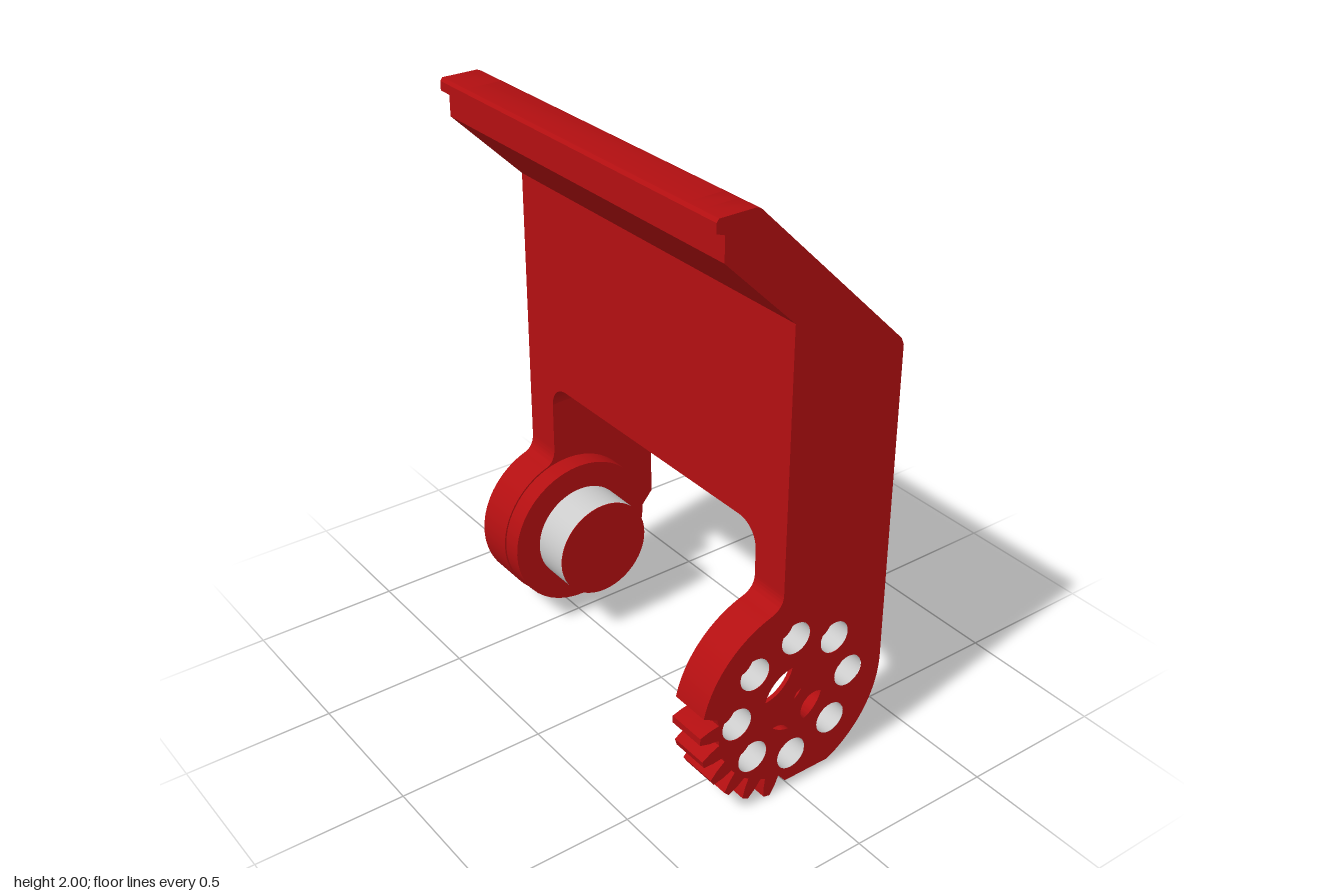
import * as THREE from 'three';
import { toCreasedNormals } from 'three/addons/utils/BufferGeometryUtils.js';

const red = new THREE.MeshStandardMaterial({ color: 0xb30f11 });
const grey = new THREE.MeshStandardMaterial({ color: 0xcccccc, side: THREE.DoubleSide });
const rad = THREE.MathUtils.degToRad;
const PIVOT = 0.35;       // height of the hinge axis
const HALF = 0.675;       // half of the full width
const INNER = 0.54;       // inner face of the arms

// Side profiles are drawn as (-z, y) and extruded along x.
function slab(name, shape, x0, x1) {
  const geo = new THREE.ExtrudeGeometry(shape, { depth: x1 - x0, bevelEnabled: false, curveSegments: 40 });
  geo.rotateY(Math.PI / 2).translate(x0, 0, 0);
  return named(name, toCreasedNormals(geo, 0.5), red);
}

function named(name, geo, material) {
  const mesh = new THREE.Mesh(geo, material);
  mesh.name = name;
  return mesh;
}

// Cylinder lying along x on the hinge axis, or offset from it
function rod(name, r, x0, x1, material, s = 0, y = PIVOT, open = false) {
  const geo = new THREE.CylinderGeometry(r, r, x1 - x0, 48, 1, open);
  geo.rotateZ(Math.PI / 2).translate((x0 + x1) / 2, y, -s);
  return named(name, geo, material);
}

function drill(shape, s, y, r) {
  shape.holes.push(new THREE.Path().absarc(s, y, r, 0, Math.PI * 2, true));
}

const boltCircle = Array.from({ length: 8 }, (_, i) => {
  const a = i * Math.PI / 4;
  return [0.22 * Math.cos(a), PIVOT + 0.22 * Math.sin(a)];
});

function drillHub(shape, r) {
  drill(shape, 0, PIVOT, 0.115);
  boltCircle.forEach(([s, y]) => drill(shape, s, y, r));
}

// Slanted head with its front lip, ending at the back edge
function headOutline() {
  const shape = new THREE.Shape();
  shape.moveTo(-0.055, 1);
  [[-0.055, 1.63], [-0.302, 1.872], [-0.302, 1.95], [-0.33, 1.96], [-0.33, 1.99], [-0.322, 2],
    [-0.2, 2], [-0.185, 1.993], [0.345, 1.468], [0.355, 1.445]].forEach(p => shape.lineTo(...p));
  return shape;
}

function panelShape() {
  const shape = headOutline();
  shape.lineTo(0.355, 1);
  return shape;
}

// Arm ending in a toothed sector
function gearArmShape() {
  const shape = headOutline();
  const polar = (deg, r) => shape.lineTo(r * Math.cos(rad(deg)), PIVOT + r * Math.sin(rad(deg)));
  shape.lineTo(0.355, PIVOT);
  shape.absarc(0, PIVOT, 0.355, 0, rad(-64.3), true);
  shape.lineTo(-0.02, 0.03);
  for (let k = 5; k >= 0; k--) {
    const a = 180 + 15 * k;
    [[5.5, 0.29], [4, 0.325], [2, 0.358], [-2, 0.358], [-4, 0.325], [-5.5, 0.29]]
      .forEach(([d, r]) => polar(a + d, r));
  }
  polar(170, 0.3);
  shape.absarc(0, PIVOT, 0.355, rad(167), rad(106.5), true);
  shape.quadraticCurveTo(-0.055, 0.705, -0.055, 0.75);
  return shape;
}

// Arm ending in a plain round hub
function pinArmShape() {
  const shape = headOutline();
  shape.lineTo(0.355, PIVOT);
  shape.lineTo(0.205, 0.175);
  shape.absarc(0, PIVOT, 0.27, rad(319.5), rad(110), true);
  shape.quadraticCurveTo(-0.055, 0.615, -0.055, 0.67);
  return shape;
}

// Lower edge of the panel: an arched underside with rounded corners
function archGeometry() {
  const geo = new THREE.BoxGeometry(2, 1, 0.41, 48, 1, 16);
  const pos = geo.attributes.position;
  const fillet = 0.08, start = INNER - fillet;
  for (let i = 0; i < pos.count; i++) {
    const x = INNER * Math.sin(pos.getX(i) * Math.PI / 2);
    const z = pos.getZ(i) - 0.15;
    const d = Math.max(0, Math.abs(x) - start);
    const r = 0.573 - fillet + Math.sqrt(Math.max(0, fillet * fillet - d * d));
    const y = pos.getY(i) > 0 ? 1 : PIVOT + Math.sqrt(r * r - z * z);
    pos.setXYZ(i, x, y, z);
  }
  return toCreasedNormals(geo, 0.5);
}

export function createModel() {
  const model = new THREE.Group();
  model.name = 'hingedBracket';
  const lowHole = [0.195, 1.5], topHole = [-0.195, 1.89];
  const step = 0.6; // depth where counterbores end

  // Panel between the arms
  const panel = panelShape();
  drill(panel, ...lowHole, 0.018);
  model.add(slab('panel', panel, -INNER, INNER), named('panelArch', archGeometry(), red));

  // Geared arm in two layers: counterbores outside, bolt holes inside
  const outer = gearArmShape();
  drillHub(outer, 0.055);
  drill(outer, ...lowHole, 0.055);
  drill(outer, ...topHole, 0.055);
  const inner = gearArmShape();
  drillHub(inner, 0.03);
  drill(inner, ...lowHole, 0.018);
  drill(inner, ...topHole, 0.03);
  const gearArm = new THREE.Group();
  gearArm.name = 'gearArm';
  gearArm.add(slab('gearArmOuter', outer, step, HALF), slab('gearArmInner', inner, INNER, step));
  boltCircle.forEach(([s, y]) => gearArm.add(rod('boltSleeve', 0.0545, step, HALF - 0.001, grey, s, y, true)));

  // Raised pad on the inside of the geared arm
  const pad = new THREE.Shape().absarc(0, PIVOT, 0.265, 0, Math.PI * 2);
  drillHub(pad, 0.03);
  gearArm.add(slab('gearPad', pad, 0.525, INNER));
  model.add(gearArm);

  // Opposite arm with boss and hinge pin
  const plain = pinArmShape();
  drill(plain, ...lowHole, 0.018);
  const pinArm = new THREE.Group();
  pinArm.name = 'pinArm';
  pinArm.add(
    slab('pinArmBody', plain, -HALF, -INNER),
    rod('pinBoss', 0.265, -INNER, -0.47, red),
    rod('hingePin', 0.173, -0.47, -0.335, grey),
    rod('pinCap', 0.173, -0.335, -0.333, red),
  );
  model.add(pinArm);
  return model;
}
